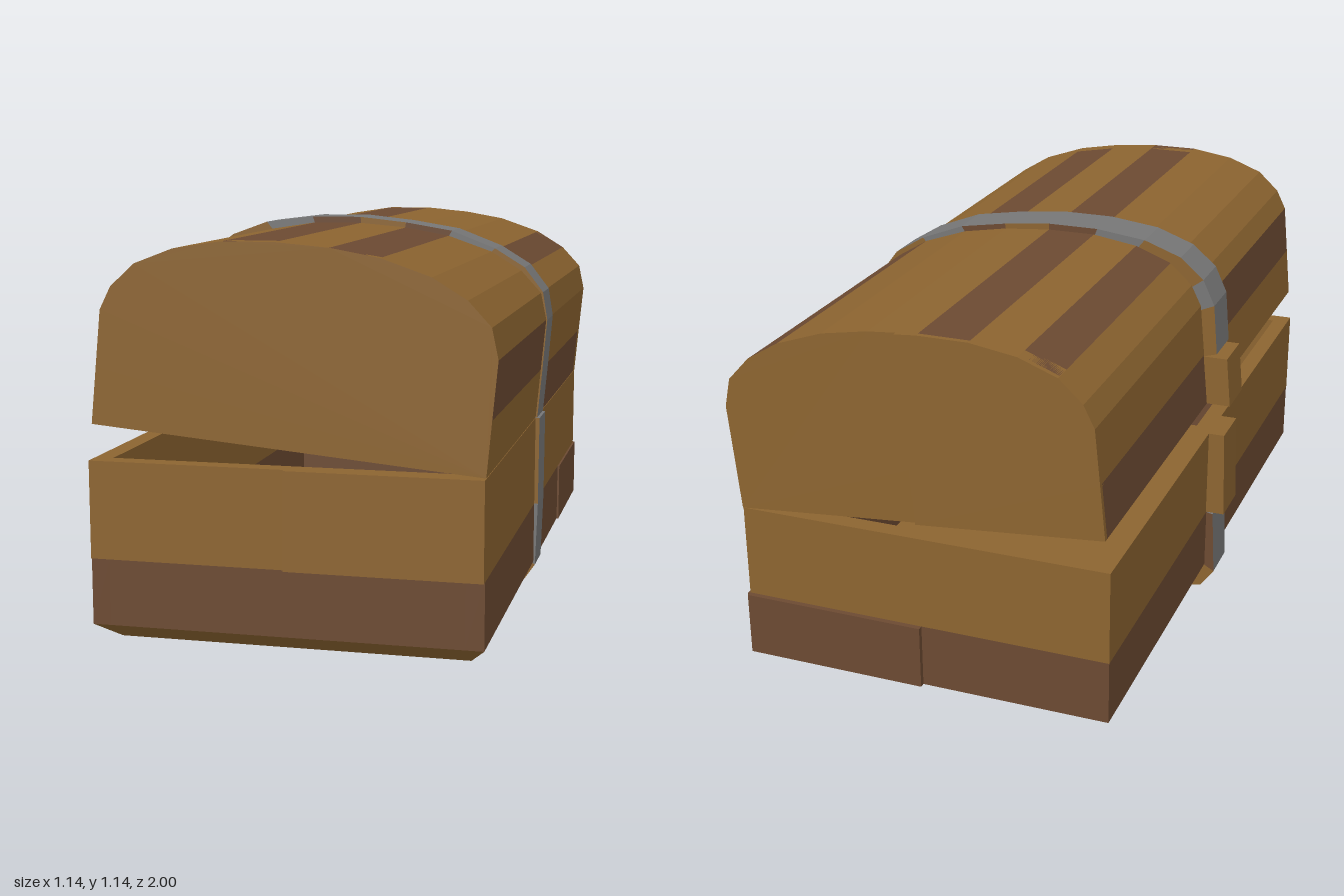
import * as THREE from 'three';

const mat = (color) => new THREE.MeshStandardMaterial({ color, flatShading: true });
const LIGHT = mat(0x8c6430), DARK = mat(0x6c4a32), IRON = mat(0x777777);

// Prism along z from a polygon in x and y; caps may differ in colour from the sides
function prism(name, points, z0, z1, side, cap = side) {
  const shape = new THREE.Shape(points.map(([x, y]) => new THREE.Vector2(x, y)));
  const geo = new THREE.ExtrudeGeometry(shape, { depth: z1 - z0, bevelEnabled: false });
  geo.translate(0, 0, z0);
  const mesh = new THREE.Mesh(geo, [cap, side]);
  mesh.name = name;
  return mesh;
}

function slab(name, x0, x1, y0, y1, z0, z1, material) {
  const mesh = new THREE.Mesh(new THREE.BoxGeometry(x1 - x0, y1 - y0, z1 - z0), material);
  mesh.position.set((x0 + x1) / 2, (y0 + y1) / 2, (z0 + z1) / 2);
  mesh.name = name;
  return mesh;
}

// Strap made of one short prism per bend between an inner and an outer line
function strap(name, inner, outer, caps) {
  const group = new THREE.Group();
  group.name = name;
  for (let i = 0; i < outer.length - 1; i++) {
    group.add(prism('strapSegment', [inner[i], inner[i + 1], outer[i + 1], outer[i]], -0.07, 0.063, IRON, caps[i]));
  }
  return group;
}

function makeBox() {
  const box = new THREE.Group();
  box.name = 'box';

  // Floor with a stepped, chamfered underside
  const r = Math.SQRT2;
  const profile = [[0, 0.02], [0.7 * r, 0.02], [0.91 * r, 0.045], [r, 0.1], [0, 0.1]];
  const floorGeo = new THREE.LatheGeometry(profile.map(([x, y]) => new THREE.Vector2(x, y)), 4);
  floorGeo.rotateY(Math.PI / 4);
  floorGeo.scale(0.525, 1, 0.98);
  const floor = new THREE.Mesh(floorGeo, LIGHT);
  floor.position.x = 0.015;
  floor.name = 'floor';
  box.add(floor);

  // Two tiers of wall planks around an open inside
  const t = 0.05;
  for (const [y0, y1, m, front, back] of [[0.1, 0.28, DARK, 0.98, -0.985], [0.28, 0.543, LIGHT, 0.985, -0.985]]) {
    box.add(slab('leftWall', 0.54 - t, 0.54, y0, y1, -0.98, 0.98, m));
    box.add(slab('rightWall', -0.51, -0.51 + t, y0, y1, -0.98, 0.98, m));
    box.add(slab('frontWall', -0.51, 0.54, y0, y1, front - t, front, m));
    box.add(slab('backWall', -0.51, 0.54, y0, y1, back, back + t, m));
  }
  // Planks standing slightly proud
  box.add(slab('frontPlank', 0.02, 0.54, 0.28, 0.543, 0.96, 1.0, LIGHT));
  box.add(slab('backPlank', 0.02, 0.54, 0.1, 0.28, -1.0, -0.96, DARK));
  box.add(slab('sidePlank', 0.52, 0.546, 0.1, 0.28, -0.99, -0.525, DARK));

  // Iron strap and lower half of the catch
  box.add(strap('boxStrap',
    [[0.53, 0.543], [0.53, 0.28], [0.53, 0.1], [0.48, 0.045], [0.36, 0.022], [-0.36, 0.022], [-0.46, 0.045], [-0.505, 0.1], [-0.505, 0.28]],
    [[0.552, 0.543], [0.551, 0.28], [0.545, 0.09], [0.5, 0.025], [0.385, 0], [-0.385, 0], [-0.5, 0.025], [-0.54, 0.08], [-0.53, 0.275]],
    [LIGHT, IRON, LIGHT, LIGHT, LIGHT, LIGHT, LIGHT, DARK]));
  box.add(prism('lowerCatch', [[-0.557, 0.543], [-0.565, 0.283], [-0.505, 0.283], [-0.505, 0.543]], -0.075, 0.065, LIGHT));
  return box;
}

function makeLid() {
  const lid = new THREE.Group();
  lid.name = 'lid';

  // Arched section of the lid, already tilted open about its hinge edge
  const arch = [[-0.5, 0.64], [-0.485, 0.79], [-0.47, 0.94], [-0.44, 1.0], [-0.375, 1.06], [-0.27, 1.1], [-0.14, 1.12], [0, 1.12],
    [0.14, 1.108], [0.27, 1.085], [0.4, 1.04], [0.49, 0.985], [0.55, 0.92], [0.567, 0.84], [0.553, 0.69], [0.54, 0.545]];
  const inset = arch.map(([x, y]) => [x + (0.02 - x) * 0.09, y + (0.5925 - y) * 0.09]);

  // Lengthwise planks, front and back halves coloured separately
  const halves = [
    { z0: 0, z1: 0.98, dark: [1, 6, 8, 13] },
    { z0: -0.985, z1: 0, dark: [0, 4, 6, 10, 14] },
  ];
  for (const { z0, z1, dark } of halves) {
    for (let i = 0; i < arch.length - 1; i++) {
      const m = dark.includes(i) ? DARK : LIGHT;
      lid.add(prism('lidPlank', [arch[i], arch[i + 1], inset[i + 1], inset[i]], z0, z1, m, LIGHT));
    }
  }

  // End boards; the back one has a prouder half
  lid.add(prism('frontEnd', arch, 0.93, 0.981, LIGHT));
  lid.add(prism('backEnd', arch, -0.988, -0.94, LIGHT));
  const proudHalf = [...arch.slice(0, 8), [0.06, 1.115], [0.02, 0.5925]];
  lid.add(prism('backEndPlank', proudHalf, -1.0, -0.95, LIGHT));

  // Iron strap and upper half of the catch
  const outer = [[-0.523, 0.797], [-0.51, 0.945], [-0.475, 1.02], [-0.405, 1.08], [-0.295, 1.12], [-0.15, 1.138], [0, 1.138],
    [0.14, 1.123], [0.28, 1.1], [0.41, 1.05], [0.5, 0.995], [0.556, 0.922], [0.57, 0.84], [0.558, 0.69], [0.545, 0.545]];
  lid.add(strap('lidStrap', inset.slice(1), outer,
    [LIGHT, IRON, LIGHT, LIGHT, IRON, DARK, LIGHT, DARK, IRON, LIGHT, LIGHT, LIGHT, LIGHT, LIGHT]));
  lid.add(prism('upperCatch', [[-0.556, 0.787], [-0.57, 0.64], [-0.495, 0.64], [-0.48, 0.787]], -0.075, 0.065, LIGHT));
  return lid;
}

export function createModel() {
  const chest = new THREE.Group();
  chest.name = 'chest';
  chest.add(makeBox(), makeLid());
  return chest;
}
